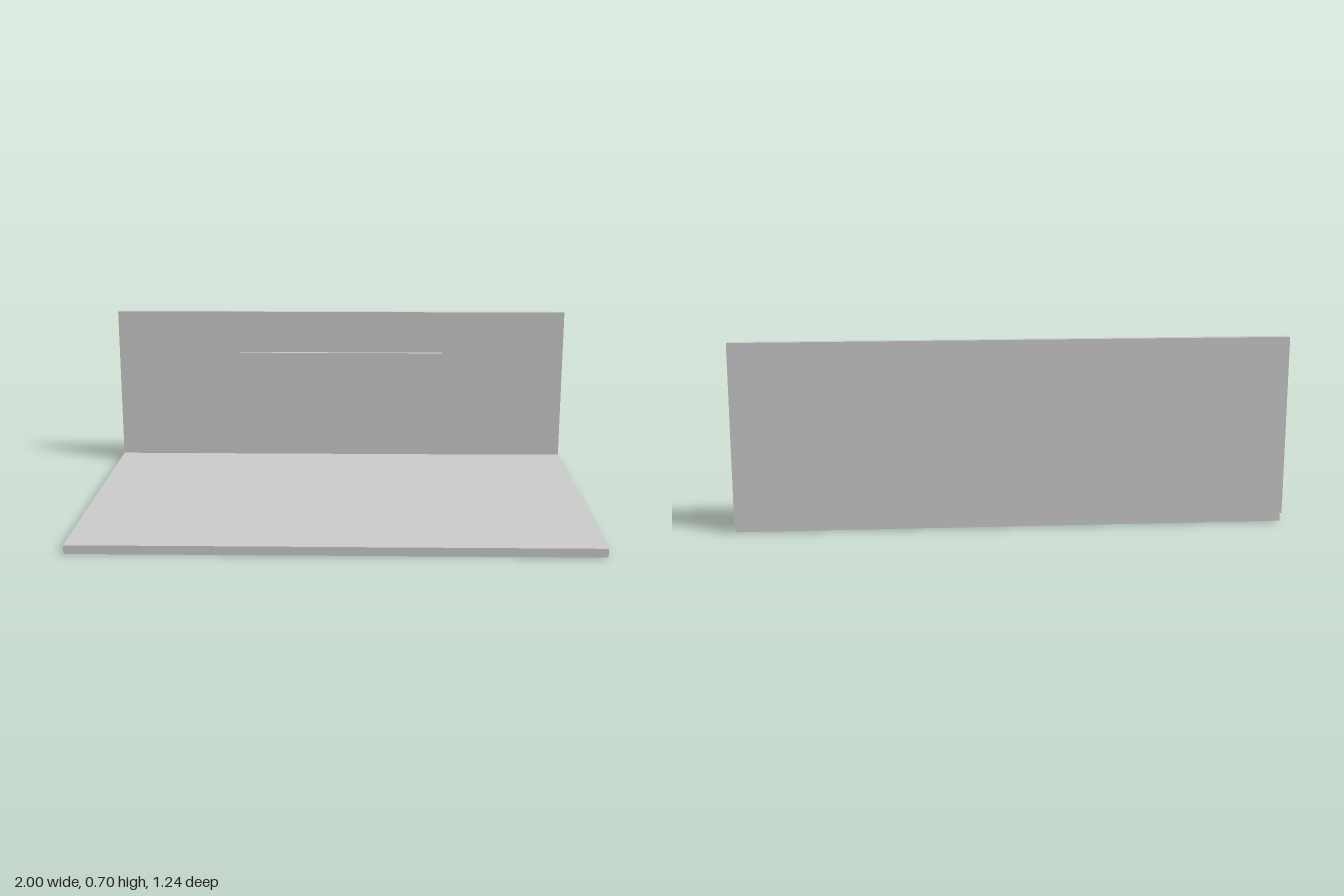
import * as THREE from 'three';

const material = new THREE.MeshStandardMaterial({ color: 0xcccccc, flatShading: true });

// Box given by its lower and upper limits on each axis
function slab(name, [x0, x1], [y0, y1], [z0, z1]) {
  const mesh = new THREE.Mesh(new THREE.BoxGeometry(x1 - x0, y1 - y0, z1 - z0), material);
  mesh.name = name;
  mesh.position.set((x0 + x1) / 2, (y0 + y1) / 2, (z0 + z1) / 2);
  return mesh;
}

export function createModel() {
  const model = new THREE.Group();
  model.name = 'baseWithBackboard';
  model.add(
    // Flat base plate
    slab('basePlate', [-1, 1], [0, 0.034], [-0.6, 0.622]),
    // Upright board along the rear edge
    slab('backBoard', [-1, 1], [0.036, 0.696], [-0.622, -0.598]),
    // Thin raised panel on the front of the board
    slab('raisedPanel', [-0.457, 0.457], [0.288, 0.512], [-0.598, -0.582]),
  );
  return model;
}
